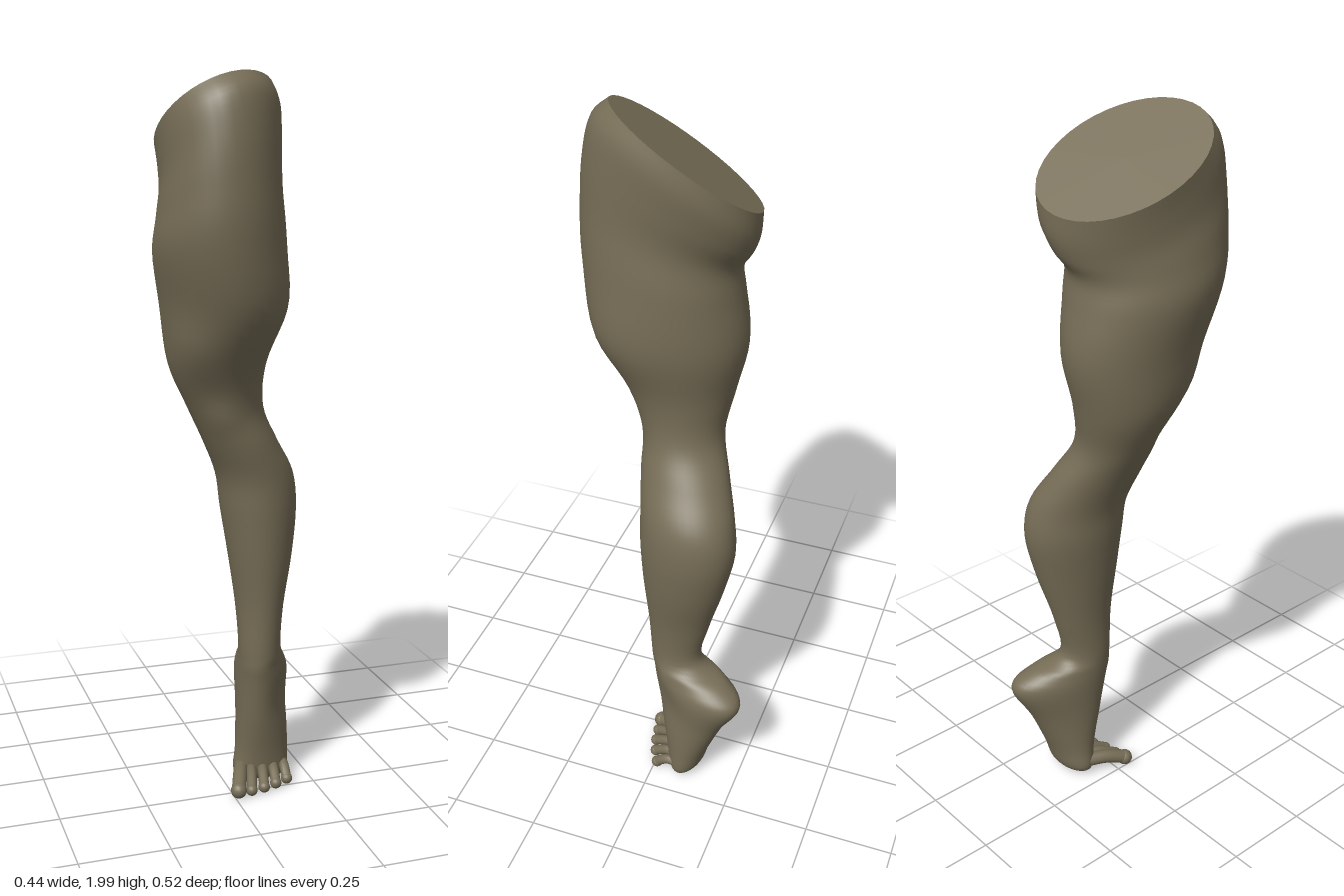
import * as THREE from 'three';

// Key cross-sections, top to bottom: [y, xMin, xMax, zMin, zMax, lean of the oval in plan]
const SECTIONS = [
  [1.905, -0.21, 0.125, -0.22, 0.185, -0.28],
  [1.84, -0.206, 0.13, -0.216, 0.228, -0.25],
  [1.76, -0.205, 0.122, -0.196, 0.25, -0.2],
  [1.67, -0.215, 0.112, -0.166, 0.26, -0.12],
  [1.56, -0.223, 0.122, -0.172, 0.257, -0.08],
  [1.4, -0.194, 0.118, -0.186, 0.215, 0],
  [1.25, -0.17, 0.088, -0.155, 0.135, 0],
  [1.13, -0.116, 0.09, -0.136, 0.084, 0],
  [1.03, -0.068, 0.14, -0.17, 0.076, -0.1],
  [0.93, -0.026, 0.198, -0.205, 0.062, -0.15],
  [0.83, -0.01, 0.211, -0.215, 0.059, -0.15],
  [0.7, 0.01, 0.196, -0.187, 0.05, -0.12],
  [0.55, 0.03, 0.165, -0.144, 0.035, -0.05],
  [0.42, 0.036, 0.157, -0.122, 0.028, -0.1],
  [0.375, 0.037, 0.188, -0.21, 0.024, -0.35],
  [0.325, 0.038, 0.215, -0.26, 0.015, -0.4],
  [0.22, 0.041, 0.203, -0.207, -0.003, -0.28],
  [0.1, 0.04, 0.2, -0.16, -0.028, -0.1],
  [0.03, 0.034, 0.198, -0.138, -0.04, 0],
  [0.004, 0.065, 0.18, -0.105, -0.055, 0],
];
const SIDES = 40, STEPS = 5;

// Muscle and bone relief: [x, y, z, radius, height]
const BUMPS = [
  [-0.05, 1.11, 0.08, 0.05, 0.012],  // kneecap
  [-0.13, 1.3, 0.12, 0.08, 0.012],   // inner thigh muscle
  [0.1, 1.42, 0.13, 0.12, 0.016],    // outer thigh muscle
  [0.15, 0.37, -0.04, 0.035, 0.01],  // outer ankle
  [0.16, 0.26, -0.05, 0.06, -0.01],  // hollow under the ankle
];

// Smooth interpolation between neighbouring sections
function sectionAt(u) {
  const last = SECTIONS.length - 1, i = Math.min(Math.floor(u), last - 1), f = u - i;
  const at = (k) => SECTIONS[THREE.MathUtils.clamp(k, 0, last)];
  return SECTIONS[i].map((a, c) => {
    const b = at(i + 1)[c], f2 = f * f, f3 = f2 * f;
    const m0 = (b - at(i - 1)[c]) / 2, m1 = (at(i + 2)[c] - a) / 2;
    return a * (2 * f3 - 3 * f2 + 1) + m0 * (f3 - 2 * f2 + f) + b * (3 * f2 - 2 * f3) + m1 * (f3 - f2);
  });
}

// One oval ring; towards the hip it tilts into the slanted cut
function ring(u) {
  const [y, x0, x1, z0, z1, lean] = sectionAt(u);
  const cx = (x0 + x1) / 2, rx = (x1 - x0) / 2, cz = (z0 + z1) / 2, rz = (z1 - z0) / 2;
  const tilt = THREE.MathUtils.smoothstep(y, 1.42, 1.88);
  return Array.from({ length: SIDES }, (_, j) => {
    const t = (j / SIDES) * Math.PI * 2, c = Math.cos(t), s = Math.sin(t);
    const x = cx + rx * (c * Math.sqrt(1 - lean * lean) + lean * s);
    const z = cz + rz * s;
    const p = new THREE.Vector3(x, y + tilt * (0.327 * x + 0.557 * z), z);
    const out = new THREE.Vector3(x - cx, 0, z - cz).normalize();
    let push = 0;
    for (const [bx, by, bz, r, h] of BUMPS)
      push += h * Math.exp(-((p.x - bx) ** 2 + (p.y - by) ** 2 + (p.z - bz) ** 2) / (r * r));
    return p.addScaledVector(out, push);
  });
}

function makeGeometry(points, index) {
  const g = new THREE.BufferGeometry().setFromPoints(points);
  g.setIndex(index);
  g.computeVertexNormals();
  return g;
}

// Flat fan closing a ring
function capGeometry(points, up) {
  const center = points.reduce((a, p) => a.add(p), new THREE.Vector3()).divideScalar(SIDES);
  const index = [];
  for (let j = 0; j < SIDES; j++) {
    const k = (j + 1) % SIDES;
    index.push(SIDES, ...(up ? [k, j] : [j, k]));
  }
  return makeGeometry([...points, center], index);
}

export function createModel() {
  const group = new THREE.Group();
  const skin = new THREE.MeshStandardMaterial({ color: 0x766d56 });
  skin.name = 'olive clay';
  const add = (parent, name, geometry) => {
    const mesh = new THREE.Mesh(geometry, skin);
    mesh.name = name;
    parent.add(mesh);
    return mesh;
  };

  // Thigh, calf and raised foot as one skin
  const rings = [], index = [], count = (SECTIONS.length - 1) * STEPS;
  for (let i = 0; i <= count; i++) rings.push(ring(i / STEPS));
  for (let i = 0; i < count; i++) for (let j = 0; j < SIDES; j++) {
    const a = i * SIDES + j, b = i * SIDES + (j + 1) % SIDES, c = a + SIDES, d = b + SIDES;
    index.push(a, b, c, b, d, c);
  }
  add(group, 'leg', makeGeometry(rings.flat(), index));
  add(group, 'hipCut', capGeometry(rings[0], true));
  add(group, 'sole', capGeometry(rings[count], false));

  // Toes fan out from the ball of the foot, big to little
  for (let i = 0; i < 5; i++) {
    const r = i === 0 ? 0.023 : 0.0165;
    const rootX = 0.052 + 0.031 * i, tipX = 0.01 + 0.04 * i;
    const tipZ = 0.033 - 0.0027 * i * i;
    const toe = new THREE.Group();
    toe.name = 'toe' + (i + 1);
    const path = new THREE.CatmullRomCurve3([
      new THREE.Vector3(rootX, 0.045, -0.075),
      new THREE.Vector3((rootX + tipX) / 2, 0.042, (tipZ - 0.075) / 2),
      new THREE.Vector3(tipX, r + 0.002, tipZ),
    ]);
    add(toe, 'toeShaft', new THREE.TubeGeometry(path, 10, r * 0.88, 12));
    add(toe, 'toeTip', new THREE.SphereGeometry(r, 16, 12)).position.set(tipX, r, tipZ);
    group.add(toe);
  }
  return group;
}
